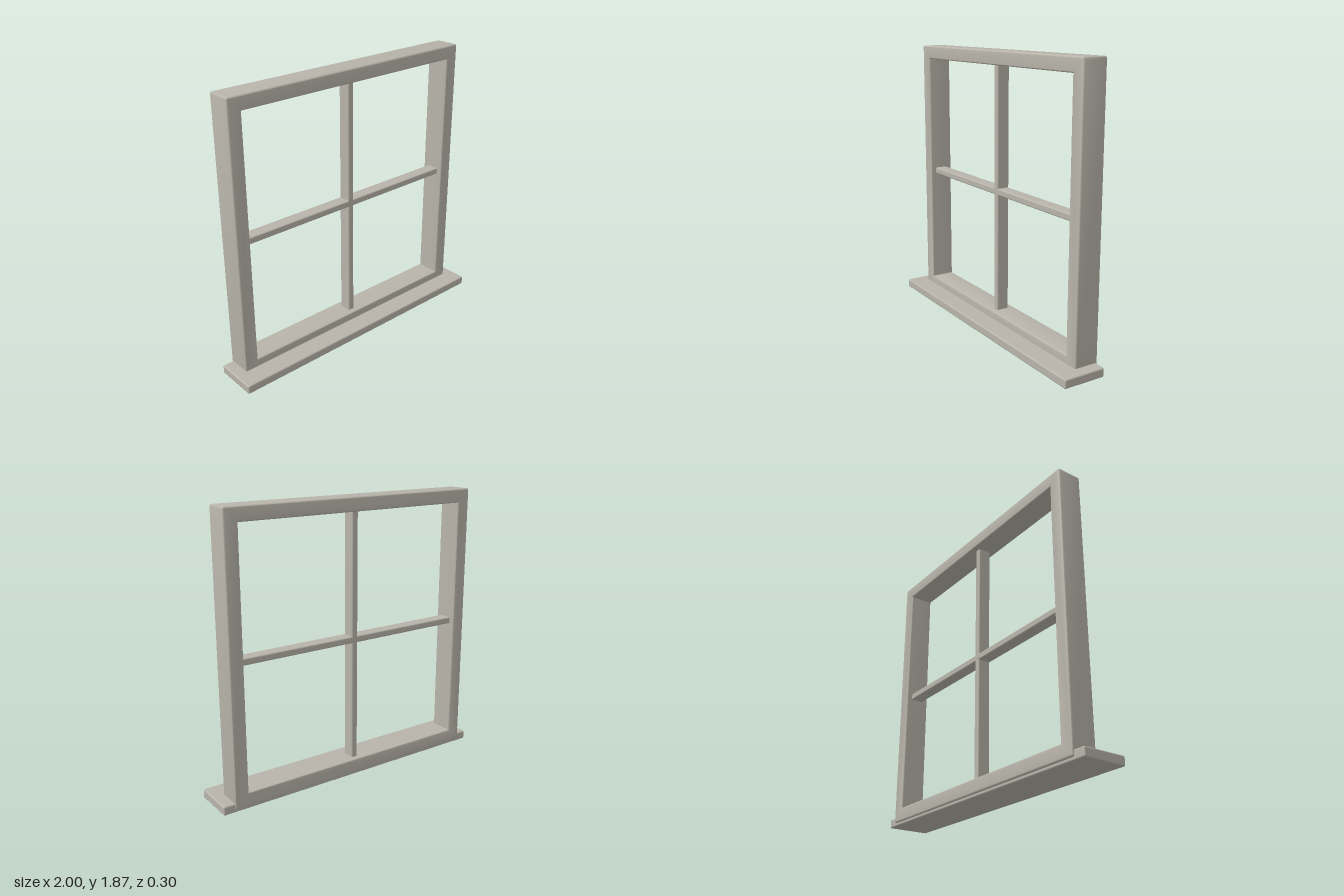
import * as THREE from 'three';
import { toCreasedNormals } from 'three/addons/utils/BufferGeometryUtils.js';
import { RoundedBoxGeometry } from 'three/addons/geometries/RoundedBoxGeometry.js';

// Trace a rectangle with softened corners into a shape or hole path
function roundedRect(path, x0, y0, x1, y1, r) {
  path.moveTo(x0 + r, y0);
  path.lineTo(x1 - r, y0);
  path.quadraticCurveTo(x1, y0, x1, y0 + r);
  path.lineTo(x1, y1 - r);
  path.quadraticCurveTo(x1, y1, x1 - r, y1);
  path.lineTo(x0 + r, y1);
  path.quadraticCurveTo(x0, y1, x0, y1 - r);
  path.lineTo(x0, y0 + r);
  path.quadraticCurveTo(x0, y0, x0 + r, y0);
  return path;
}

export function createModel() {
  const model = new THREE.Group();
  model.name = 'window';
  const paint = new THREE.MeshStandardMaterial({ color: 0xb8b4aa });
  paint.name = 'warm grey paint';

  function add(name, geometry, x, y, z) {
    const mesh = new THREE.Mesh(geometry, paint);
    mesh.name = name;
    mesh.position.set(x, y, z);
    model.add(mesh);
  }

  // Outer frame: one bevelled surround with a square opening
  const bevel = 0.01;
  const back = -0.15, front = 0.017;
  const outline = roundedRect(new THREE.Shape(), -0.923, 0.02, 0.923, 1.865, 0.014);
  const opening = new THREE.Path();
  opening.moveTo(-0.83, 0.112);
  opening.lineTo(-0.83, 1.773);
  opening.lineTo(0.83, 1.773);
  opening.lineTo(0.83, 0.112);
  opening.closePath();
  outline.holes.push(opening);
  const frame = new THREE.ExtrudeGeometry(outline, {
    depth: front - back - 2 * bevel,
    curveSegments: 3,
    bevelEnabled: true,
    bevelThickness: bevel,
    bevelSize: bevel,
    bevelOffset: -bevel,
    bevelSegments: 3,
  });
  add('frame', toCreasedNormals(frame, 0.7), 0, 0, back + bevel);

  // Crossing glazing bars, ends set into the frame
  const barZ = (front + back) / 2;
  add('verticalBar', new RoundedBoxGeometry(0.045, 1.69, 0.088, 3, 0.009), 0, 0.9425, barZ);
  add('horizontalBar', new RoundedBoxGeometry(1.69, 0.045, 0.088, 3, 0.009), 0, 0.9425, barZ);

  // Projecting sill
  add('sill', new RoundedBoxGeometry(2, 0.06, 0.29, 3, 0.01), 0, 0.03, 0.005);

  return model;
}
